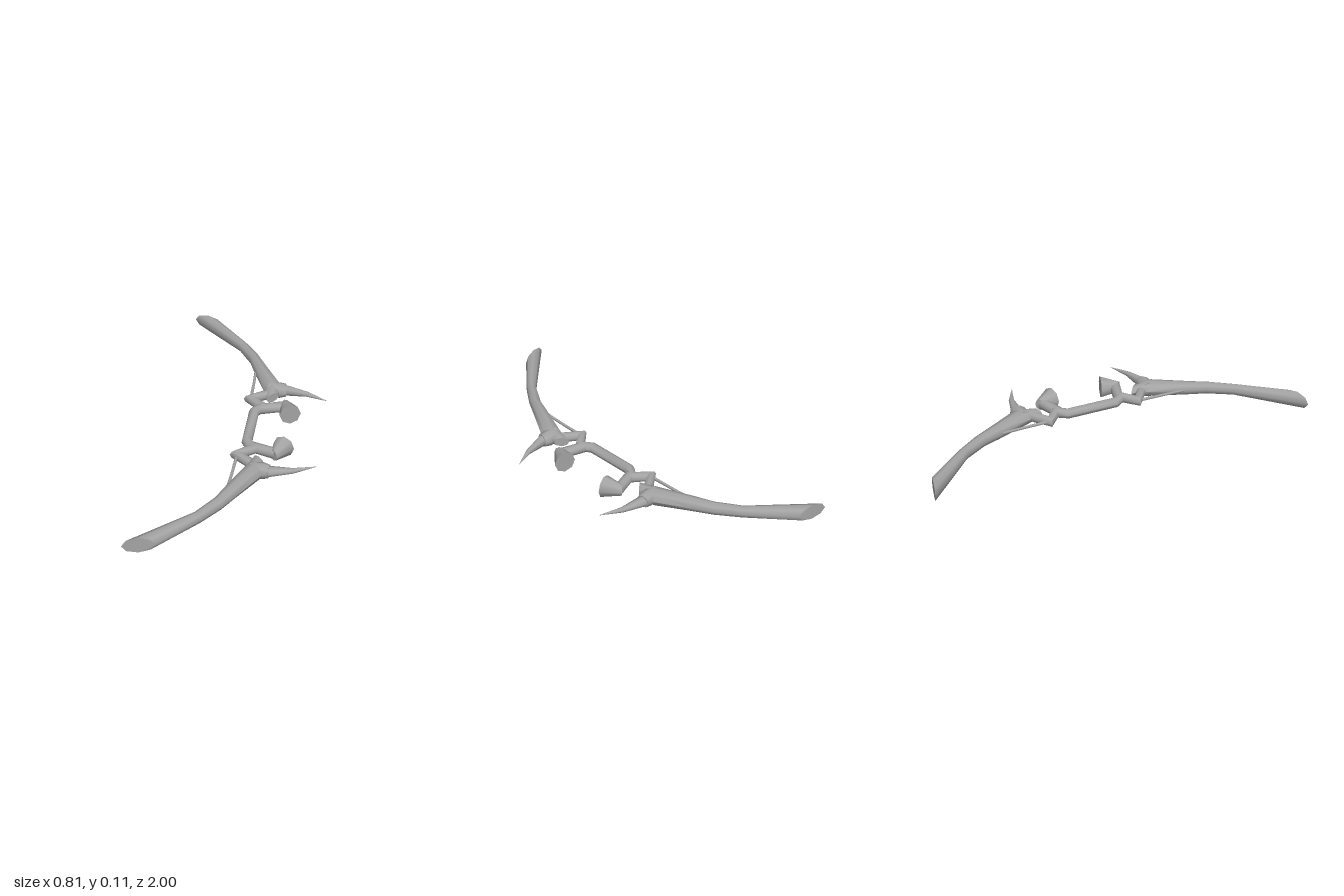
import * as THREE from 'three';
import { toCreasedNormals } from 'three/addons/utils/BufferGeometryUtils.js';

const MID = 0.058; // height of the bow's middle plane
const SIDES = 8;

// Skin elliptical rings; each section is [leftX, leftZ, rightX, rightZ, halfHeight]
function loft(sections) {
  const pos = [], idx = [];
  for (const [lx, lz, rx, rz, h] of sections) {
    for (let k = 0; k < SIDES; k++) {
      const a = (k / SIDES) * Math.PI * 2, c = Math.cos(a) / 2;
      pos.push((lx + rx) / 2 + (rx - lx) * c, MID + h * Math.sin(a), (lz + rz) / 2 + (rz - lz) * c);
    }
  }
  const last = (sections.length - 1) * SIDES;
  for (let i = 0; i < last; i += SIDES) {
    for (let k = 0; k < SIDES; k++) {
      const n = (k + 1) % SIDES;
      idx.push(i + k, i + n, i + SIDES + n, i + k, i + SIDES + n, i + SIDES + k);
    }
  }
  // flat end caps
  for (let k = 1; k < SIDES - 1; k++) {
    idx.push(0, k + 1, k, last, last + k, last + k + 1);
  }
  const g = new THREE.BufferGeometry();
  g.setAttribute('position', new THREE.Float32BufferAttribute(pos, 3));
  g.setIndex(idx);
  return g;
}

// Round tube along a flat path of [x, z, radius], mitred at the bends
function tube(path) {
  const dir = (a, b) => new THREE.Vector2(b[0] - a[0], b[1] - a[1]).normalize();
  return loft(path.map((p, i) => {
    const before = i > 0 ? dir(path[i - 1], p) : dir(p, path[i + 1]);
    const after = i < path.length - 1 ? dir(p, path[i + 1]) : before;
    const d = before.clone().add(after).normalize();
    const w = p[2] * Math.min(1 / d.dot(before), 1.3);
    return [p[0] - d.y * w, p[1] + d.x * w, p[0] + d.y * w, p[1] - d.x * w, p[2]];
  }));
}

// Mirrored copy for the other end of the bow, keeping faces outward
function mirrorZ(geometry) {
  const g = geometry.clone().scale(1, 1, -1);
  g.index.array.reverse();
  return g;
}

export function createModel() {
  const model = new THREE.Group();
  model.name = 'bow';
  const grey = new THREE.MeshStandardMaterial({ color: 0xa3a3a3 });
  grey.name = 'grey';

  const add = (name, geometry) => {
    const mesh = new THREE.Mesh(toCreasedNormals(geometry, 0.9), grey);
    mesh.name = name;
    model.add(mesh);
  };
  const addPair = (name, geometry) => {
    add(name + 'Back', geometry);
    add(name + 'Front', mirrorZ(geometry));
  };

  // curved limb with a slanted cut at the tip
  addPair('limb', loft([
    [-0.405, -1.0, -0.255, -0.963, 0.042],
    [-0.12, -0.73, -0.08, -0.765, 0.030],
    [-0.045, -0.61, 0.0, -0.655, 0.032],
    [-0.01, -0.515, 0.054, -0.56, 0.035],
    [0.068, -0.33, 0.15, -0.395, 0.042],
    [0.092, -0.25, 0.15, -0.3, 0.026],
  ]));

  // collar and curved spike on the limb root
  addPair('collar', tube([[0.09, -0.35, 0.04], [0.15, -0.352, 0.041], [0.182, -0.356, 0.034]]));
  addPair('spike', tube([[0.17, -0.356, 0.029], [0.295, -0.333, 0.0135], [0.402, -0.285, 0.001]]));

  // zigzag handle with a straight grip
  const half = [[0.1, -0.31], [0.008, -0.245], [0.08, -0.185], [0.043, -0.13]];
  const path = [...half, ...half.map(([x, z]) => [x, -z]).reverse()];
  add('handle', tube(path.map(([x, z]) => [x, z, 0.026])));

  // prong ending in a flared knob
  addPair('prong', tube([[0.07, -0.165, 0.027], [0.195, -0.207, 0.028]]));
  addPair('knob', loft([
    [0.168, -0.205, 0.205, -0.24, 0.03],
    [0.175, -0.121, 0.28, -0.155, 0.057],
  ]));

  // thin brace from handle elbow to limb
  addPair('brace', tube([[0.0, -0.54, 0.007], [0.007, -0.4, 0.007], [0.01, -0.25, 0.008]]));

  return model;
}
